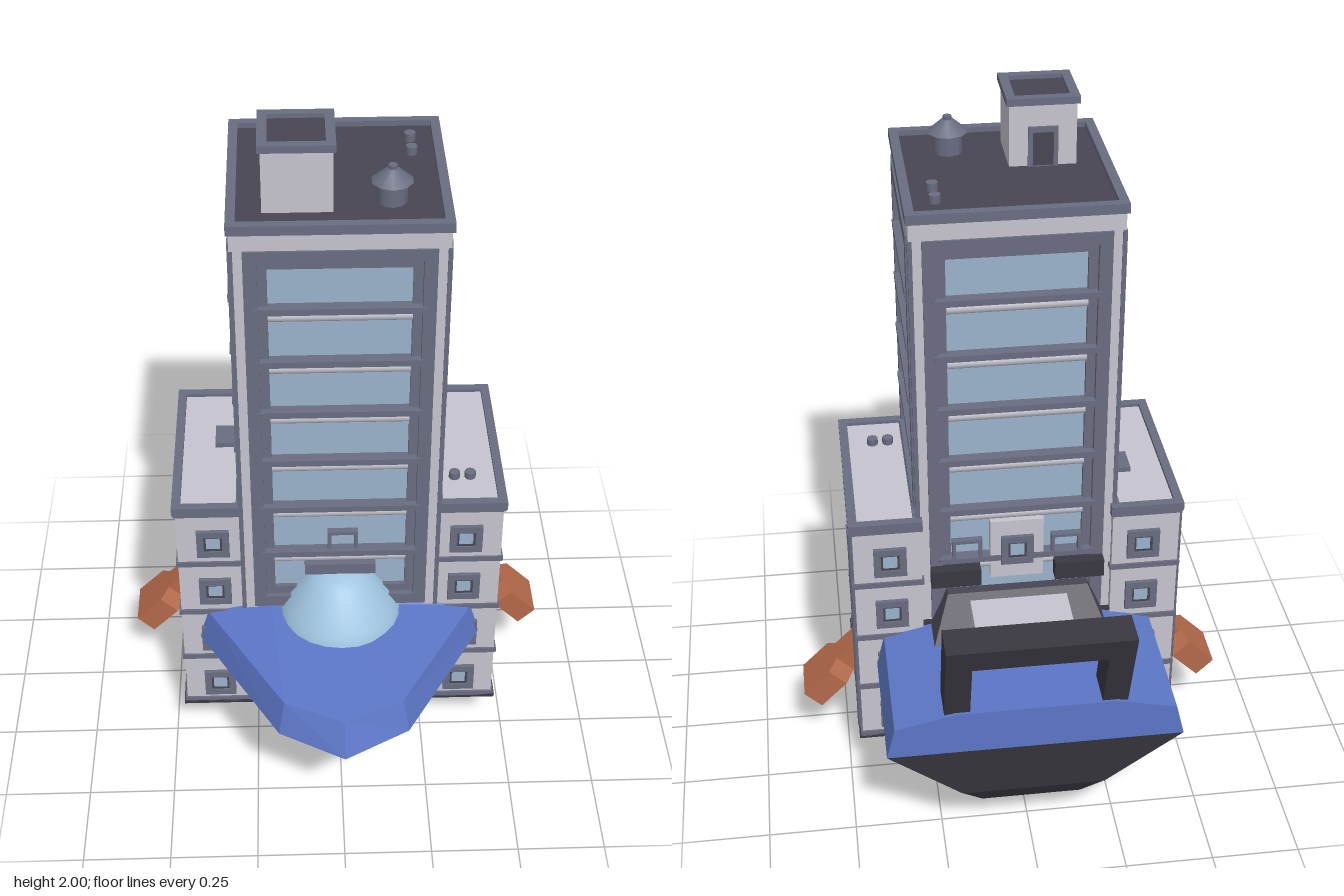
import * as THREE from 'three';

const mat = (name, color) => {
  const m = new THREE.MeshStandardMaterial({ color });
  m.name = name;
  return m;
};

export function createModel() {
  const wall = mat('pale wall', 0xc6c5cf), trim = mat('grey trim', 0x6a6d81);
  const glass = mat('window glass', 0x9ab3cc), dome = mat('canopy blue', 0xa0c4e0);
  const roof = mat('dark roof', 0x484552), black = mat('dark hull', 0x3a3942);
  const blue = mat('blue deck', 0x5c76c6), red = mat('red base', 0xcf5947);
  const brown = mat('copper brown', 0xb4694a);
  const model = new THREE.Group();

  const add = (name, geo, m, x = 0, y = 0, z = 0, parent = model) => {
    const mesh = new THREE.Mesh(geo, m);
    mesh.name = name;
    mesh.position.set(x, y, z);
    parent.add(mesh);
    return mesh;
  };
  const box = (name, m, w, h, d, x, y, z, parent) =>
    add(name, new THREE.BoxGeometry(w, h, d), m, x, y, z, parent);
  const cyl = (name, m, r0, r1, h, n, x, y, z, parent) =>
    add(name, new THREE.CylinderGeometry(r0, r1, h, n), m, x, y, z, parent);

  // Rectangular frame in the xy plane, extruded along +z
  const frameGeo = (w, h, t, d) => {
    const rect = (P, a, b) => {
      const p = new P();
      p.moveTo(-a, -b); p.lineTo(a, -b); p.lineTo(a, b); p.lineTo(-a, b); p.closePath();
      return p;
    };
    const s = rect(THREE.Shape, w / 2, h / 2);
    s.holes.push(rect(THREE.Path, w / 2 - t, h / 2 - t));
    return new THREE.ExtrudeGeometry(s, { depth: d, bevelEnabled: false });
  };
  // The same frame laid flat, rising from y
  const parapet = (name, w, d, t, h, x, y, z) =>
    add(name, frameGeo(w, d, t, h).rotateX(-Math.PI / 2), trim, x, y, z);

  // Solid lofted through horizontal outlines, lowest first; each lists its +x half from bow to stern
  const loft = (rings) => {
    const full = rings.map(h => [...h, ...h.filter(p => p[0] > 0).reverse().map(([x, y, z]) => [-x, y, z])]);
    const v = [], n = full[0].length;
    const tri = (...p) => p.forEach(q => v.push(...q));
    const mid = r => [0, 1, 2].map(k => r.reduce((s, p) => s + p[k], 0) / n);
    const low = full[0], top = full[full.length - 1], cl = mid(low), ct = mid(top);
    for (let i = 0; i < n; i++) {
      const j = (i + 1) % n;
      for (let k = 0; k < full.length - 1; k++) {
        const a = full[k], b = full[k + 1];
        tri(a[i], a[j], b[i]);
        tri(a[j], b[j], b[i]);
      }
      tri(ct, top[i], top[j]);
      tri(cl, low[j], low[i]);
    }
    const g = new THREE.BufferGeometry();
    g.setAttribute('position', new THREE.Float32BufferAttribute(v, 3));
    g.computeVertexNormals();
    return g;
  };

  // Tower core and corner posts
  const tz = 0.02;
  box('towerCore', wall, 0.5, 1.64, 0.5, 0, 0.98, tz);
  box('towerLowerCore', black, 0.55, 0.4, 0.54, 0, 0.352, 0);
  for (const sx of [-1, 1]) for (const sz of [-1, 1]) {
    box('cornerPost', wall, 0.04, 1.25, 0.04, sx * 0.258, 1.175, tz + sz * 0.258);
    box('cornerEdge', trim, 0.012, 1.2, 0.012, sx * 0.275, 1.15, tz + sz * 0.275);
  }
  box('towerTopBand', wall, 0.556, 0.06, 0.556, 0, 1.775, tz);

  // Glazed face with frames and rounded ledges, one per side
  for (let i = 0; i < 4; i++) {
    const face = new THREE.Group();
    face.name = 'towerFace';
    face.position.z = tz;
    face.rotation.y = i * Math.PI / 2;
    model.add(face);
    box('glassPane', glass, 0.4, 1.16, 0.006, 0, 1.14, 0.252, face);
    add('outerFrame', frameGeo(0.49, 1.19, 0.035, 0.034), trim, 0, 1.155, 0.25, face);
    add('innerFrame', frameGeo(0.43, 1.13, 0.03, 0.018), trim, 0, 1.155, 0.25, face);
    for (let k = 0; k < 6; k++) {
      const y = 1.572 - k * 0.163;
      box('ledge', trim, 0.44, 0.018, 0.036, 0, y, 0.27, face);
      const r = cyl('ledgeRoll', wall, 0.018, 0.018, 0.37, 14, 0, y - 0.023, 0.26, face);
      r.rotation.z = Math.PI / 2;
    }
  }

  // Tower roof
  box('towerRoof', roof, 0.54, 0.02, 0.54, 0, 1.8, tz);
  parapet('towerParapet', 0.57, 0.57, 0.025, 0.027, 0, 1.798, tz);
  box('stairHouse', wall, 0.18, 0.18, 0.18, -0.105, 1.895, 0.125);
  parapet('stairHouseRim', 0.195, 0.195, 0.025, 0.02, -0.105, 1.98, 0.125);
  box('stairHouseRoof', roof, 0.15, 0.004, 0.15, -0.105, 1.986, 0.125);
  box('doorFrame', trim, 0.08, 0.11, 0.012, -0.105, 1.865, 0.034);
  box('door', roof, 0.055, 0.09, 0.008, -0.105, 1.86, 0.028);
  cyl('ventStem', trim, 0.04, 0.04, 0.06, 10, 0.135, 1.84, 0.16);
  cyl('ventCap', trim, 0.015, 0.055, 0.035, 10, 0.135, 1.885, 0.16);
  cyl('ventTip', trim, 0.012, 0.012, 0.012, 8, 0.135, 1.906, 0.16);
  for (const z of [-0.16, -0.085]) cyl('smallVent', trim, 0.016, 0.016, 0.025, 8, 0.2, 1.82, z);

  // Small square window facing +z before rotation
  const smallWindow = (x, y, z, ry) => {
    const g = new THREE.Group();
    g.name = 'smallWindow';
    g.position.set(x, y, z);
    g.rotation.y = ry;
    model.add(g);
    add('windowFrame', frameGeo(0.092, 0.092, 0.02, 0.012), trim, 0, 0, 0, g);
    add('windowInnerFrame', frameGeo(0.056, 0.056, 0.008, 0.007), roof, 0, 0, 0, g);
    box('windowGlass', glass, 0.042, 0.042, 0.006, 0, 0, 0.002, g);
  };

  // Side wings with floor bands, parapets and corner edging
  for (const s of [-1, 1]) {
    const x = s * 0.365;
    box('wing', wall, 0.19, 0.75, 0.55, x, 0.525, 0);
    for (const y of [0.158, 0.338, 0.518, 0.702, 0.885])
      box('floorBand', trim, 0.202, 0.016, 0.562, x, y, 0);
    parapet('wingParapet', 0.205, 0.565, 0.025, 0.025, s * 0.367, 0.885, 0);
    box('wingRoof', roof, 0.17, 0.01, 0.53, x, 0.894, 0);
    for (const y of [0.78, 0.6, 0.415, 0.23]) {
      smallWindow(s * 0.358, y, 0.275, 0);
      smallWindow(s * 0.358, y, -0.275, Math.PI);
    }
    cyl('drainPipe', trim, 0.008, 0.008, 0.7, 8, s * 0.465, 0.52, -0.25);
  }
  smallWindow(0.46, 0.23, 0, Math.PI / 2);
  smallWindow(-0.46, 0.6, -0.02, -Math.PI / 2);
  box('roofHatch', trim, 0.06, 0.02, 0.085, -0.322, 0.905, -0.05);
  for (const x of [0.33, 0.375]) cyl('smallVent', trim, 0.016, 0.016, 0.03, 8, x, 0.905, 0.15);
  box('underside', black, 0.94, 0.012, 0.562, 0, 0.148, 0);

  // Entrance details, front and back
  const arch = frameGeo(0.085, 0.07, 0.01, 0.02);
  add('frontHandleFrame', arch, trim, 0.008, 0.79, 0.275);
  box('canopyBar', trim, 0.2, 0.035, 0.03, 0, 0.705, 0.3);
  box('rearPanel', wall, 0.15, 0.19, 0.03, 0, 0.785, -0.25);
  smallWindow(0, 0.785, -0.265, Math.PI);
  for (const s of [-1, 1]) {
    add('rearArch', arch, trim, s * 0.14, 0.79, -0.27);
    box('rearClamp', black, 0.14, 0.055, 0.04, s * 0.175, 0.715, -0.275);
  }

  // Boat hull: dark belly, blue sides and deck
  const chine = [[0, 0.42, 0.77], [0.18, 0.42, 0.67], [0.408, 0.42, 0.28], [0.408, 0.42, -0.677]];
  add('hullBelly', loft([
    [[0, 0.225, 0.39], [0.1, 0.225, 0.375], [0.2, 0.225, 0.28], [0.2, 0.225, -0.635]], chine,
  ]), black);
  add('hullDeck', loft([
    chine,
    [[0, 0.51, 0.72], [0.165, 0.51, 0.64], [0.385, 0.515, 0.27], [0.385, 0.515, -0.677]],
    [[0, 0.553, 0.31], [0.1, 0.553, 0.3], [0.2, 0.553, 0.27], [0.22, 0.553, -0.677]],
  ]), blue);
  add('sternKeel', loft([
    [[0.14, 0.15, -0.44], [0.14, 0.15, -0.585]],
    [[0.2, 0.226, -0.42], [0.2, 0.226, -0.635]],
  ]), black);
  add('copperKeel', loft([
    [[0, 0.152, 0.32], [0.13, 0.152, 0.29], [0.14, 0.152, -0.44]],
    [[0, 0.226, 0.385], [0.19, 0.226, 0.28], [0.19, 0.226, -0.44]],
  ]), brown);

  // Rounded canopy on the bow
  const profile = new THREE.SplineCurve([[0.18, 0.52], [0.165, 0.56], [0.12, 0.625], [0.07, 0.675], [0.001, 0.695]]
    .map(p => new THREE.Vector2(...p))).getPoints(14);
  add('canopy', new THREE.LatheGeometry(profile, 24), dome, 0, 0, 0.285);

  // Rear engine cover and its pale hump
  add('engineCover', loft([
    [[0.25, 0.54, -0.26], [0.25, 0.54, -0.382]],
    [[0.2, 0.66, -0.26], [0.2, 0.66, -0.29]],
  ]), roof);
  add('engineHump', loft([
    [[0.138, 0.54, -0.28], [0.138, 0.54, -0.477]],
    [[0.138, 0.6, -0.28], [0.138, 0.6, -0.452]],
    [[0.138, 0.642, -0.28], [0.138, 0.642, -0.425]],
  ]), wall);

  // Raked stern arch
  const bar = new THREE.Shape([[-0.25, 0.53], [-0.18, 0.53], [-0.18, 0.75], [0.18, 0.75], [0.18, 0.53],
    [0.25, 0.53], [0.25, 0.83], [-0.25, 0.83]].map(p => new THREE.Vector2(...p)));
  const barGeo = new THREE.ExtrudeGeometry(bar, { depth: 0.105, bevelEnabled: false });
  const bp = barGeo.attributes.position;
  for (let i = 0; i < bp.count; i++) bp.setZ(i, bp.getZ(i) - 0.668 - (bp.getY(i) - 0.55) * 0.34);
  barGeo.computeVertexNormals();
  add('sternArch', barGeo, black);

  // Copper side outlets, angled down and out
  const fin = new THREE.Shape([[-0.06, -0.036], [0.05, -0.036], [0.085, -0.068], [0.195, -0.068],
    [0.195, 0.068], [0.085, 0.068], [0.05, 0.036], [-0.06, 0.036]].map(p => new THREE.Vector2(...p)));
  const finGeo = new THREE.ExtrudeGeometry(fin, { depth: 0.07, bevelEnabled: false })
    .translate(0, 0, -0.035).rotateX(-Math.PI / 2).rotateZ(-Math.PI / 4);
  for (const s of [-1, 1]) {
    const g = new THREE.Group();
    g.name = 'sideOutlet';
    g.position.z = -0.083;
    g.rotation.y = s > 0 ? 0 : Math.PI;
    model.add(g);
    add('outlet', finGeo, brown, 0.463, 0.332, 0, g);
  }

  // Round base
  cyl('redBase', red, 0.21, 0.21, 0.09, 12, 0, 0.102, 0).geometry = faceted(0.21, 0.21, 0.09);
  add('darkFoot', faceted(0.21, 0.15, 0.045), black, 0, 0.0345, 0);
  add('footTip', faceted(0.15, 0.1, 0.012), black, 0, 0.006, 0);
  return model;
}

// Twelve-sided drum with flat faces
function faceted(top, bottom, h) {
  const g = new THREE.CylinderGeometry(top, bottom, h, 12).toNonIndexed();
  g.computeVertexNormals();
  return g;
}
